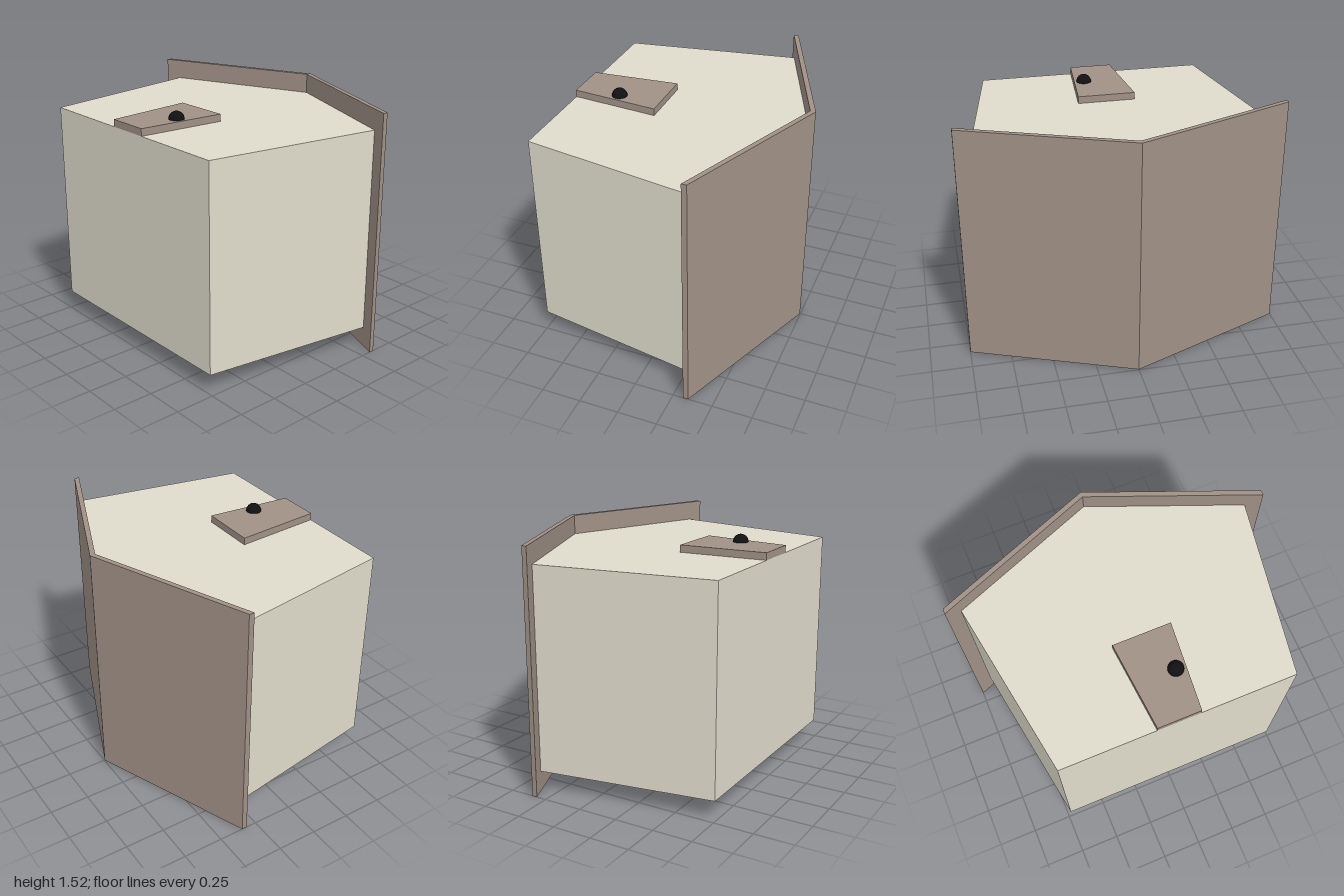
import * as THREE from 'three';

const material = (color) => new THREE.MeshStandardMaterial({ color });

// Upright prism from an [x, z] outline, spanning y0 to y1
function prism(name, outline, y0, y1, mat) {
  const shape = new THREE.Shape(outline.map(([x, z]) => new THREE.Vector2(x, -z)));
  const geometry = new THREE.ExtrudeGeometry(shape, { depth: y1 - y0, bevelEnabled: false });
  geometry.rotateX(-Math.PI / 2).translate(0, y0, 0);
  const mesh = new THREE.Mesh(geometry, mat);
  mesh.name = name;
  return mesh;
}

export function createModel() {
  const group = new THREE.Group();
  group.name = 'house';
  const wall = material(0xe0dccc);
  const wood = material(0xa09186);

  // House body lying on its back, gable pointing to -z
  group.add(prism('houseBody',
    [[-0.73, 0.747], [0.73, 0.747], [0.91, -0.354], [0, -0.715], [-0.91, -0.354]],
    0.125, 1.402, wall));

  // Folded roof slab with overhang at both gables
  group.add(prism('roof',
    [[-1, -0.314], [0, -0.713], [1, -0.314], [1, -0.347], [0, -0.747], [-1, -0.347]],
    0, 1.525, wood));

  // Tapered door
  group.add(prism('door',
    [[-0.135, 0.747], [0.135, 0.747], [0.182, 0.198], [-0.182, 0.198]],
    1.4, 1.447, wood));

  // Door knob
  const knob = new THREE.Mesh(new THREE.SphereGeometry(0.048, 32, 16), material(0x111111));
  knob.name = 'doorKnob';
  knob.position.set(0.097, 1.447, 0.465);
  group.add(knob);

  return group;
}
